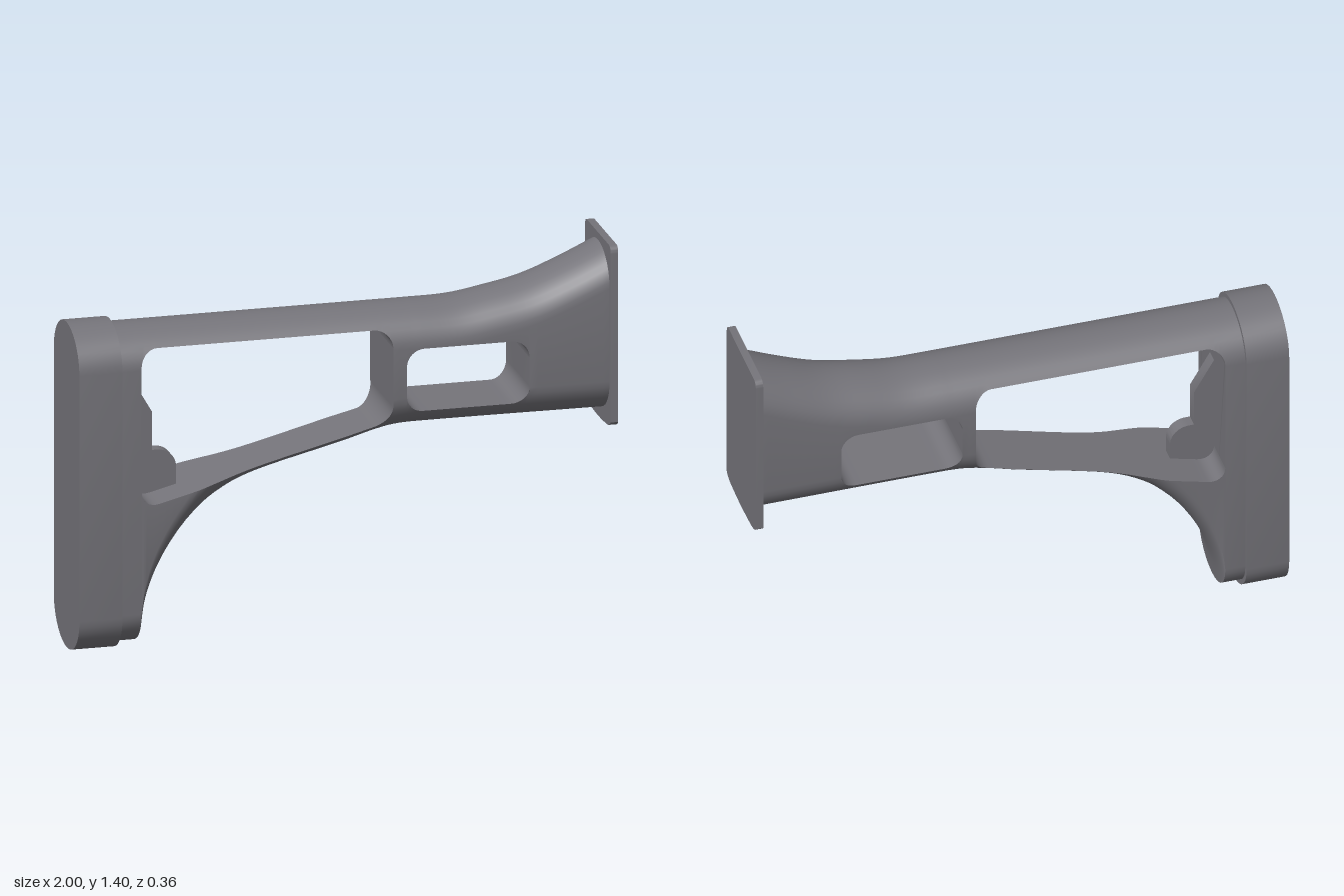
import * as THREE from 'three';
import { mergeGeometries, toCreasedNormals } from 'three/addons/utils/BufferGeometryUtils.js';

const CREASE = 0.6;

// Smooth curve y(x) through a few points, flat beyond both ends
function curve(pts) {
  const n = pts.length;
  const slope = (i) => {
    const a = pts[Math.max(i - 1, 0)], b = pts[Math.min(i + 1, n - 1)];
    return (b[1] - a[1]) / (b[0] - a[0]);
  };
  return (x) => {
    if (x <= pts[0][0]) return pts[0][1];
    if (x >= pts[n - 1][0]) return pts[n - 1][1];
    let i = 0;
    while (x > pts[i + 1][0]) i++;
    const [x0, y0] = pts[i], [x1, y1] = pts[i + 1], h = x1 - x0, t = (x - x0) / h;
    const t2 = t * t, t3 = t2 * t;
    return (2 * t3 - 3 * t2 + 1) * y0 + (t3 - 2 * t2 + t) * h * slope(i)
      + (3 * t2 - 2 * t3) * y1 + (t3 - t2) * h * slope(i + 1);
  };
}

// Closed solid along x: a round-ended section (bottom..top), cut to lo..hi
function loft(xs, { bottom, top, halfWidth, round }, lo = bottom, hi = top) {
  const STEPS = 9, pos = [], idx = [];
  let ring = 0;
  for (const x of xs) {
    const B = bottom(x), T = top(x), a = lo(x), b = hi(x), side = [];
    for (let k = 0; k <= STEPS; k++) side.push(B + round * (1 - Math.cos((k / STEPS) * Math.PI / 2)));
    for (let k = STEPS; k >= 0; k--) side.push(T - round * (1 - Math.cos((k / STEPS) * Math.PI / 2)));
    const pts = side.map((v) => {
      const y = Math.min(Math.max(v, a), b);
      const d = Math.max(0, 1 - Math.min(y - B, T - y, round) / round);
      return [y, halfWidth * Math.sqrt(Math.max(0, 1 - d * d))];
    });
    for (const [y, w] of pts) pos.push(x, y, w);
    for (const [y, w] of pts.reverse()) pos.push(x, y, -w);
    ring = pts.length * 2;
  }
  for (let i = 0; i < xs.length - 1; i++) {
    for (let j = 0; j < ring; j++) {
      const a = i * ring + j, b = i * ring + (j + 1) % ring;
      idx.push(a, a + ring, b + ring, a, b + ring, b);
    }
  }
  const last = (xs.length - 1) * ring;
  for (let k = 1; k < ring - 1; k++) idx.push(0, k, k + 1, last, last + k + 1, last + k);
  const g = new THREE.BufferGeometry();
  g.setAttribute('position', new THREE.Float32BufferAttribute(pos, 3));
  g.setIndex(idx);
  return g;
}

const range = (a, b, n) => Array.from({ length: n + 1 }, (_, i) => a + (b - a) * i / n);

// Columns across an opening, packed closely at its rounded corners
function openingColumns(x0, x1, r, n) {
  const corner = range(0, Math.PI / 2, 8).map((t) => r * (1 - Math.cos(t)));
  return [...corner.map((d) => x0 + d), ...range(x0 + r, x1 - r, n).slice(1, -1),
    ...corner.reverse().map((d) => x1 - d)];
}

// Height taken off an opening by its rounded corners
function cornerLift(x, x0, x1, r) {
  const d = Math.max(0, r - Math.min(x - x0, x1 - x));
  return r - Math.sqrt(Math.max(0, r * r - d * d));
}

// Extrude a (z, y) or (x, y) outline, centred on its depth
function slab(shape, depth) {
  const g = new THREE.ExtrudeGeometry(shape, { depth, bevelEnabled: false, curveSegments: 8 });
  return g.translate(0, 0, -depth / 2);
}

export function createModel() {
  const group = new THREE.Group();
  const grey = new THREE.MeshStandardMaterial({ color: 0x75747a });
  grey.name = 'dark grey';
  const add = (name, geometry) => {
    const mesh = new THREE.Mesh(toCreasedNormals(geometry, CREASE), grey);
    mesh.name = name;
    group.add(mesh);
  };

  // Body outline
  const body = {
    bottom: curve([[-0.765, 0.02], [-0.755, 0.1], [-0.735, 0.18], [-0.7, 0.27], [-0.65, 0.36],
      [-0.6, 0.43], [-0.55, 0.485], [-0.5, 0.53], [-0.42, 0.58], [-0.35, 0.61], [-0.25, 0.64],
      [0, 0.703], [0.12, 0.737], [0.2, 0.753], [0.3, 0.757], [0.98, 0.755]]),
    top: curve([[0.25, 1.207], [0.42, 1.21], [0.55, 1.23], [0.7, 1.262], [0.84, 1.315], [0.98, 1.378]]),
    halfWidth: 0.165,
    round: 0.135,
  };

  // Large sloping opening and small opening
  const L0 = -0.765, L1 = 0.17, LR = 0.065;
  const S0 = 0.22, S1 = 0.675, SR = 0.065;
  const largeFloor = (x) => 0.568 + (x + 0.69) * 0.258 + cornerLift(x, L0, L1, LR);
  const largeCeiling = (x) => 1.145 - cornerLift(x, L0, L1, LR);
  const smallFloor = (x) => 0.83 + cornerLift(x, S0, S1, SR);
  const smallCeiling = (x) => 1.07 - cornerLift(x, S0, S1, SR);
  const largeXs = openingColumns(L0, L1, LR, 28);
  const smallXs = openingColumns(S0, S1, SR, 10);

  add('body', mergeGeometries([
    loft([-0.845, L0], body),
    loft(largeXs, body, body.bottom, largeFloor),
    loft(largeXs, body, largeCeiling, body.top),
    loft(range(L1, S0, 2), body),
    loft(smallXs, body, body.bottom, smallFloor),
    loft(smallXs, body, smallCeiling, body.top),
    loft(range(S1, 0.98, 10), body),
  ]));

  // Rear pad
  add('buttPad', loft([-1, -0.84], { bottom: () => 0, top: () => 1.225, halfWidth: 0.18, round: 0.15 }));

  // Front end plate with rounded top corners and a slightly bowed lower edge
  const plate = new THREE.Shape();
  plate.moveTo(-0.18, 0.74);
  plate.quadraticCurveTo(-0.165, 0.722, -0.13, 0.718);
  plate.quadraticCurveTo(0, 0.706, 0.13, 0.718);
  plate.quadraticCurveTo(0.165, 0.722, 0.18, 0.74);
  plate.lineTo(0.18, 1.375);
  plate.quadraticCurveTo(0.18, 1.402, 0.153, 1.402);
  plate.lineTo(-0.153, 1.402);
  plate.quadraticCurveTo(-0.18, 1.402, -0.18, 1.375);
  add('endPlate', slab(plate, 0.028).rotateY(Math.PI / 2).translate(0.986, 0, 0));

  // Thin latch standing in the rear corner of the large opening
  const latch = new THREE.Shape();
  latch.moveTo(-0.78, 0.55);
  latch.lineTo(-0.6, 0.57);
  latch.lineTo(-0.6, 0.655);
  latch.absarc(-0.67, 0.655, 0.07, 0, Math.PI / 2, false);
  latch.lineTo(-0.69, 0.725);
  latch.lineTo(-0.69, 0.87);
  latch.lineTo(-0.765, 1.0);
  latch.lineTo(-0.78, 1.0);
  add('latch', slab(latch, 0.05));

  return group;
}
